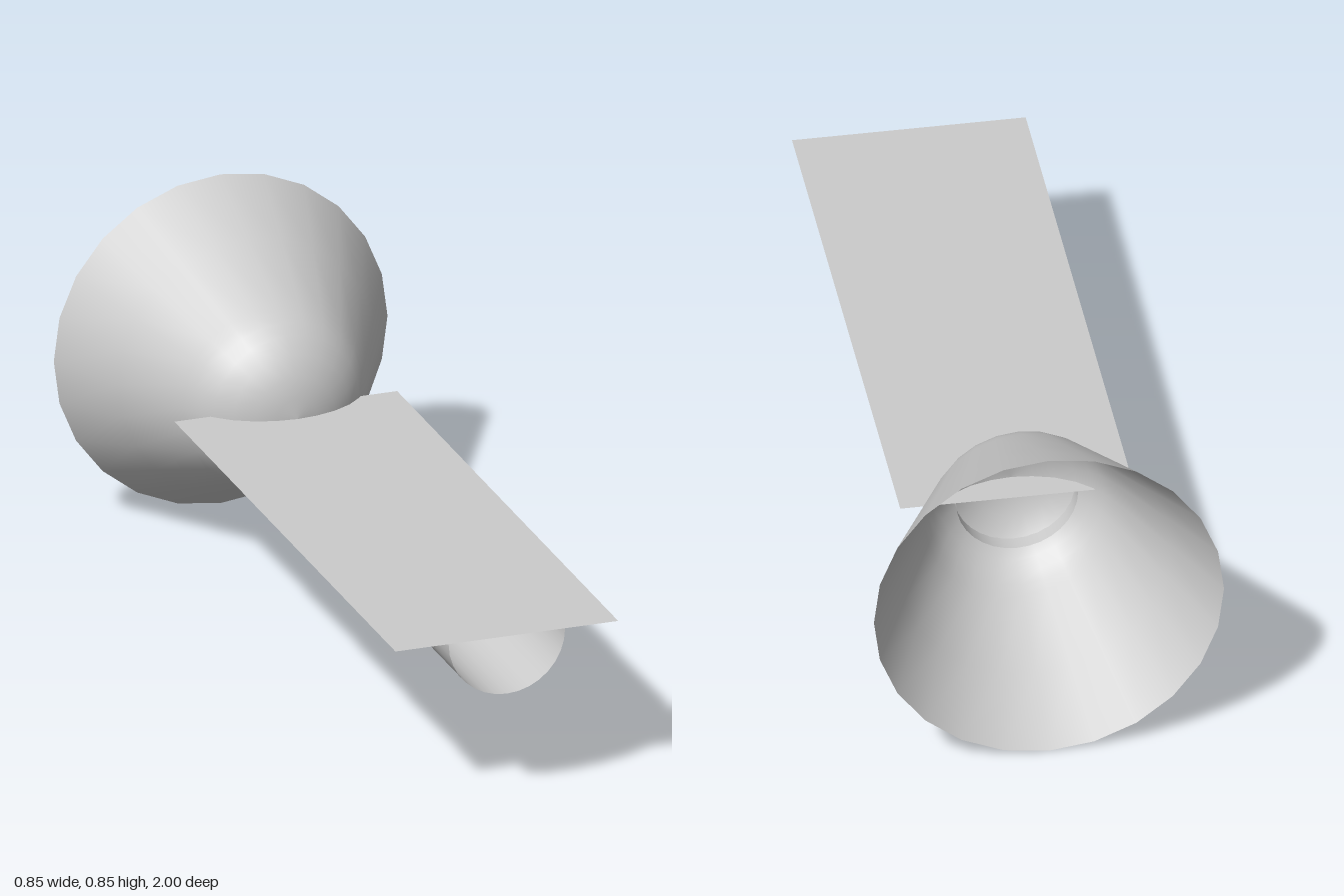
import * as THREE from 'three';

export function createModel() {
  const group = new THREE.Group();
  const lightGrey = new THREE.MeshStandardMaterial({ color: 0xcccccc, side: THREE.DoubleSide });
  lightGrey.name = 'lightGrey';
  const axisY = 0.424; // height of the bell's axis and of the flat plate
  const backZ = -0.545, frontZ = 1;
  const length = frontZ - backZ, midZ = (frontZ + backZ) / 2;

  const add = (name, geometry, z) => {
    const mesh = new THREE.Mesh(geometry, lightGrey);
    mesh.name = name;
    mesh.position.set(0, axisY, z);
    group.add(mesh);
  };

  // Open bell with a domed nose: [radius, z] from the rim to the tip
  const profile = [
    [0.424, -1], [0.33, -0.81], [0.235, -0.618], [0.222, -0.592], [0.207, -0.566], [0.185, -0.538],
    [0.148, -0.505], [0.1, -0.479], [0.05, -0.465], [0, -0.46],
  ].map(([r, z]) => new THREE.Vector2(r, z));
  add('bell', new THREE.LatheGeometry(profile, 24).rotateX(Math.PI / 2), 0);

  // Thin flat plate running into the nose of the bell
  add('plate', new THREE.PlaneGeometry(0.566, length).rotateX(-Math.PI / 2), midZ);

  // Open half-round trough under the plate
  add('trough', new THREE.CylinderGeometry(0.148, 0.148, length, 16, 1, true, -Math.PI / 2, Math.PI)
    .rotateX(Math.PI / 2), midZ);

  return group;
}
